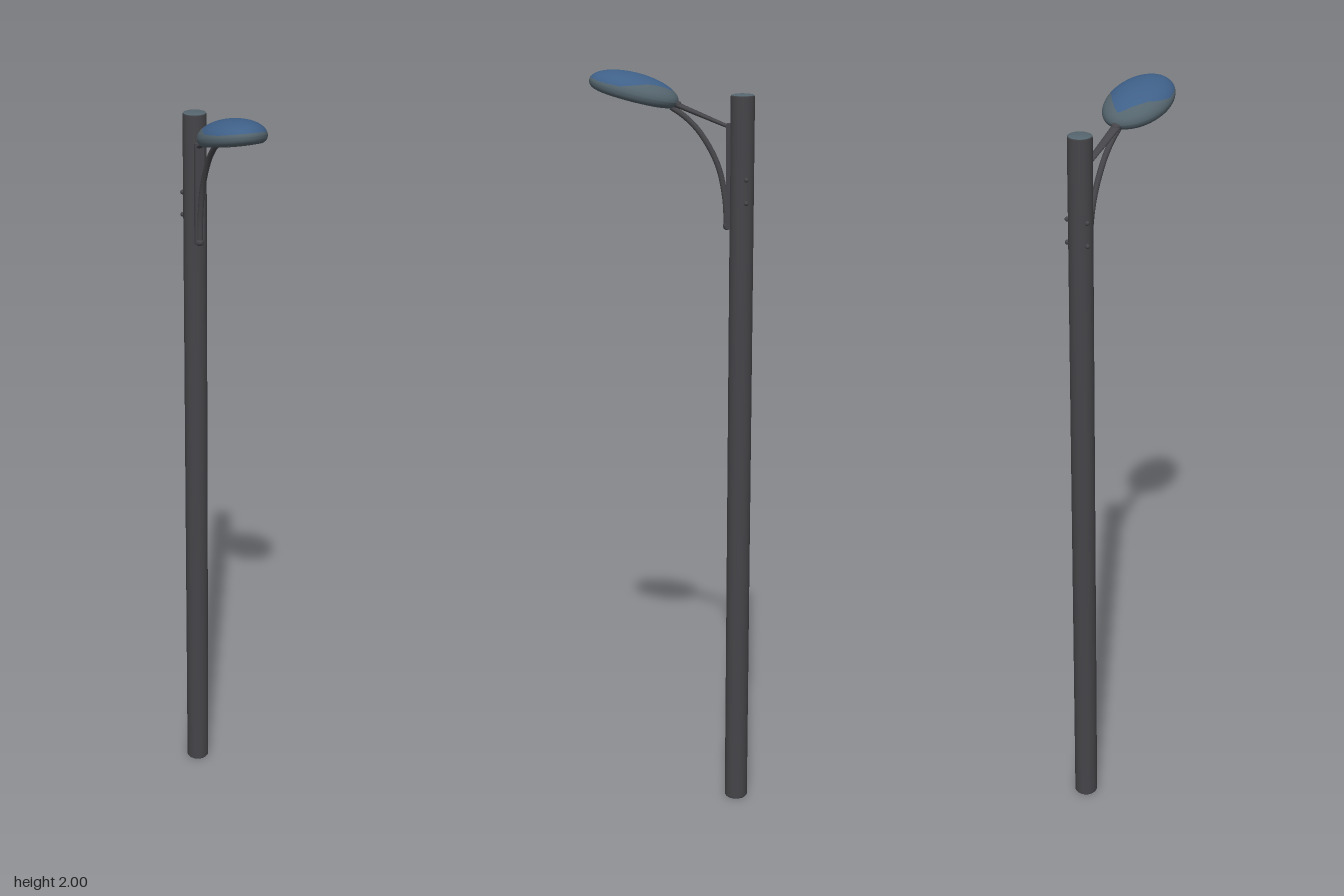
import * as THREE from 'three';
import { mergeVertices } from 'three/addons/utils/BufferGeometryUtils.js';

const mat = (name, color) => Object.assign(new THREE.MeshStandardMaterial({ color }), { name });

const POLE_Z = -0.185, POLE_R = 0.031;
const HALF_W = 0.082, HALF_L = 0.119, SEG = 64;

function mesh(name, geometry, material, parent) {
  const m = new THREE.Mesh(geometry, material);
  m.name = name;
  parent.add(m);
  return m;
}

// Loft of closed rings: ring(row, angle) gives [x, y, z]; groups are [rowCount, materialIndex]
function rings(rows, ring, groups = []) {
  const pos = [], idx = [];
  for (let i = 0; i <= rows; i++)
    for (let j = 0; j < SEG; j++) pos.push(...ring(i, (j / SEG) * Math.PI * 2));
  for (let i = 0; i < rows; i++)
    for (let j = 0; j < SEG; j++) {
      const k = (j + 1) % SEG, a = i * SEG, b = a + SEG;
      idx.push(a + j, b + j, b + k, a + j, b + k, a + k);
    }
  const g = new THREE.BufferGeometry();
  g.setAttribute('position', new THREE.Float32BufferAttribute(pos, 3));
  g.setIndex(idx);
  let start = 0;
  for (const [count, material] of groups) {
    g.addGroup(start, count * SEG * 6, material);
    start += count * SEG * 6;
  }
  const merged = mergeVertices(g);
  merged.computeVertexNormals();
  return merged;
}

// Outline of the blue panel, as a fraction of the head radius, by degrees from the back
const PANEL = [[0, 0.84], [25, 0.71], [45, 0.69], [63, 0.72], [82, 0.86], [100, 0.965], [130, 0.985], [180, 0.985]];
function panelRadius(angle) {
  const d = 180 - THREE.MathUtils.radToDeg(Math.min(angle, Math.PI * 2 - angle));
  const i = Math.max(1, PANEL.findIndex(([deg]) => deg >= d - 1e-6));
  const [d0, r0] = PANEL[i - 1], [d1, r1] = PANEL[i];
  return r0 + ((r1 - r0) * (d - d0)) / (d1 - d0);
}
const onHead = (r, y, a) => [HALF_W * r * Math.sin(a), y, HALF_L * r * Math.cos(a)];

export function createModel() {
  const root = new THREE.Group();
  root.name = 'streetLamp';
  const charcoal = mat('charcoalMetal', 0x454549);
  const slate = mat('slateMetal', 0x55656e);
  const blue = mat('bluePanel', 0x3f6088);
  const lensGrey = mat('lensGrey', 0x6a6865);

  // Pole with softened ends
  const poleProfile = [[0, 0], [0.028, 0], [POLE_R, 0.004], [POLE_R, 1.938], [0.029, 1.942], [0, 1.942]];
  const pole = mesh('pole', new THREE.LatheGeometry(poleProfile.map(p => new THREE.Vector2(...p)), 32), charcoal, root);
  pole.position.z = POLE_Z;
  const cap = mesh('poleCap', new THREE.SphereGeometry(0.03, 32, 8, 0, Math.PI * 2, 0, Math.PI / 2), slate, root);
  cap.scale.y = 0.15;
  cap.position.set(0, 1.941, POLE_Z);

  // Upper arm, widening towards the head
  const from = new THREE.Vector3(0, 1.855, -0.165), to = new THREE.Vector3(0, 1.918, -0.005);
  const dir = to.clone().sub(from);
  const arm = mesh('arm', new THREE.CylinderGeometry(0.013, 0.008, dir.length(), 20), charcoal, root);
  arm.scale.z = 0.55;
  arm.position.copy(from).add(to).multiplyScalar(0.5);
  arm.rotation.x = Math.atan2(dir.z, dir.y);

  // Curved brace below the arm
  const curve = new THREE.CatmullRomCurve3([
    [1.605, -0.146], [1.68, -0.141], [1.765, -0.121], [1.845, -0.075], [1.885, -0.035], [1.908, 0],
  ].map(([y, z]) => new THREE.Vector3(0, y, z)));
  mesh('brace', new THREE.TubeGeometry(curve, 40, 0.0075, 12), charcoal, root);

  // Mounting plate and the foot of the brace
  const plate = mesh('mountingPlate', new THREE.BoxGeometry(0.024, 0.27, 0.014), charcoal, root);
  plate.position.set(0, 1.735, -0.152);
  const foot = mesh('braceFoot', new THREE.SphereGeometry(0.011, 16, 10), charcoal, root);
  foot.position.set(0, 1.607, -0.147);

  // Bolts on both sides of the pole
  for (const side of [-1, 1])
    for (const y of [1.67, 1.73]) {
      const bolt = mesh('bolt', new THREE.SphereGeometry(0.006, 12, 8), charcoal, root);
      bolt.position.set(side * 0.029, y, -0.201);
    }

  // Tilted lamp head
  const head = new THREE.Group();
  head.name = 'lampHead';
  head.position.set(0, 1.948, 0.098);
  head.rotation.x = -0.24;
  root.add(head);

  // Domed shell: blue panel inside, slate border outside
  const inner = 14, outer = 8;
  mesh('shell', rings(inner + outer, (i, a) => {
    const edge = Math.asin(panelRadius(a));
    const phi = i <= inner ? (edge * i) / inner : edge + ((Math.PI / 2 - edge) * (i - inner)) / outer;
    return onHead(Math.sin(phi), 0.045 * Math.cos(phi), a);
  }, [[inner, 0], [outer, 1]]), [blue, slate], head);

  // Underside housing, curving in to the lens
  mesh('underside', rings(6, (i, a) => {
    const t = i / 6;
    return onHead(1 - 0.24 * t * t, -0.02 * Math.sin((t * Math.PI) / 2), a);
  }), slate, head);
  mesh('lens', rings(5, (i, a) => {
    const r = 0.765 * (1 - i / 5);
    return onHead(r, -0.02 - 0.004 * (1 - (r / 0.765) ** 2), a);
  }), lensGrey, head);

  // Collar joining arm and head
  const collar = mesh('headCollar', new THREE.SphereGeometry(0.014, 16, 10), charcoal, head);
  collar.scale.set(1, 0.7, 1.2);
  collar.position.set(0, -0.004, -0.113);

  return root;
}
